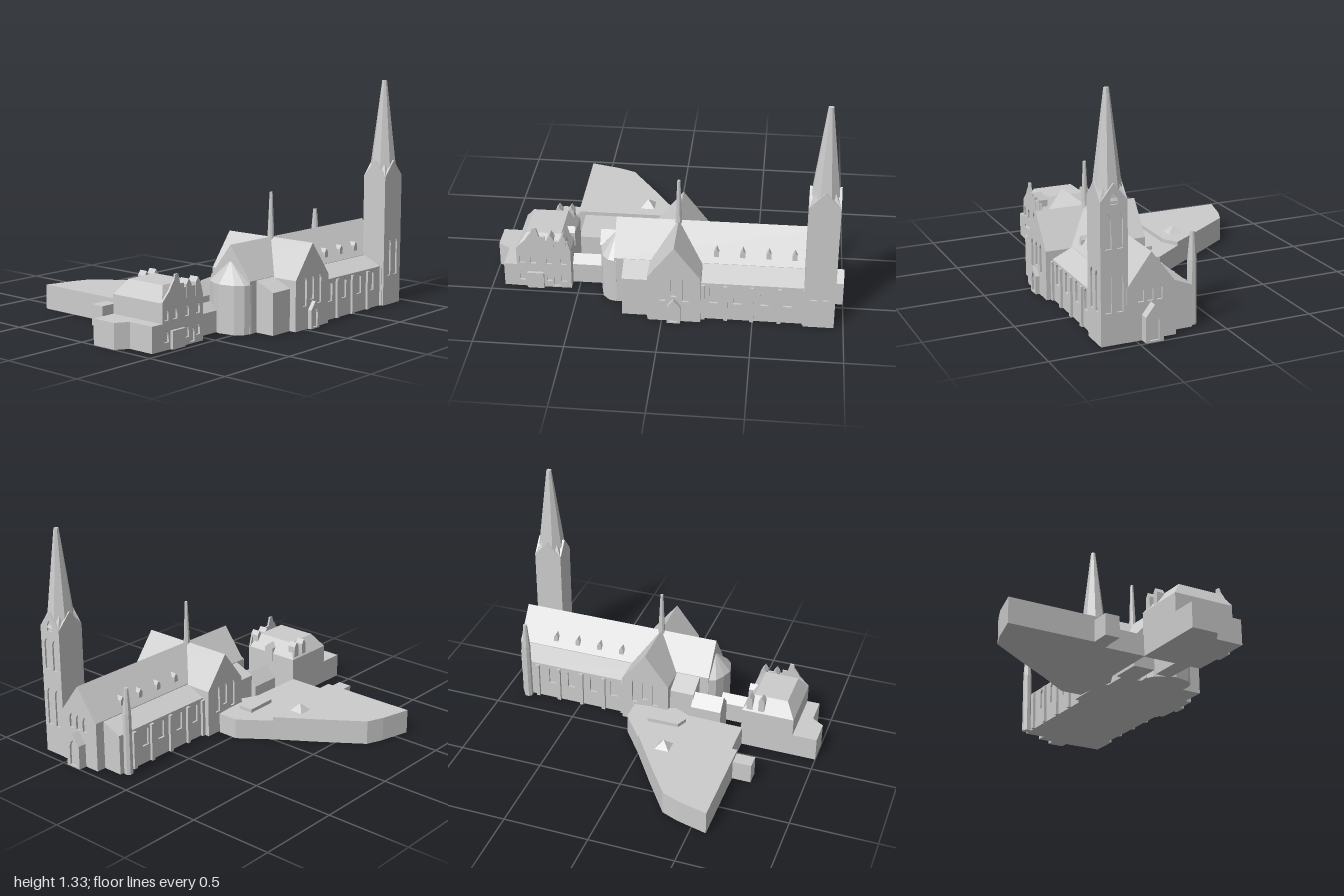
import * as THREE from 'three';
import { ConvexGeometry } from 'three/addons/geometries/ConvexGeometry.js';

export function createModel() {
  const model = new THREE.Group();
  model.name = 'cathedralPrecinct';
  const stone = new THREE.MeshStandardMaterial({ color: 0xcccccc });
  stone.name = 'pale stone';

  const add = (name, geometry) => {
    const mesh = new THREE.Mesh(geometry, stone);
    mesh.name = name;
    model.add(mesh);
    return mesh;
  };

  // Outline extruded along an axis: 'x' takes (z, y), 'y' takes (x, z), 'z' takes (x, y)
  const prism = (name, axis, from, to, outline, holes = []) => {
    const map = ([a, b]) =>
      new THREE.Vector2(axis === 'x' ? -a : a, axis === 'y' ? -b : b);
    const points = outline.map(map);
    if (THREE.ShapeUtils.isClockWise(points)) points.reverse();
    const shape = new THREE.Shape(points);
    shape.holes = holes.map((h) => new THREE.Path(h.map(map)));
    const g = new THREE.ExtrudeGeometry(shape, { depth: to - from, bevelEnabled: false });
    g.translate(0, 0, from);
    if (axis === 'x') g.rotateY(Math.PI / 2);
    if (axis === 'y') g.rotateX(-Math.PI / 2);
    return add(name, g);
  };
  const box = (name, x0, x1, y0, y1, z0, z1) => {
    const g = new THREE.BoxGeometry(x1 - x0, y1 - y0, z1 - z0);
    g.translate((x0 + x1) / 2, (y0 + y1) / 2, (z0 + z1) / 2);
    return add(name, g);
  };
  // Faceted tapering shaft
  const shaft = (name, x, z, y0, y1, r0, r1, sides, scaleZ = 1) => {
    let g = new THREE.CylinderGeometry(r1, r0, y1 - y0, sides);
    g.rotateY(Math.PI / sides);
    g.scale(1, 1, scaleZ);
    g.translate(x, (y0 + y1) / 2, z);
    g = g.toNonIndexed();
    g.computeVertexNormals();
    return add(name, g);
  };
  const hull = (name, points) =>
    add(name, new ConvexGeometry(points.map((p) => new THREE.Vector3(...p))));
  const rect = (a0, a1, b0, b1) => [[a0, b0], [a1, b0], [a1, b1], [a0, b1]];
  const gable = (c, half, eave, ridge, y0 = 0) =>
    [[c - half, y0], [c + half, y0], [c + half, eave], [c, ridge], [c - half, eave]];
  const lancet = (c, y0, y1, w, rise = w * 0.9) => [
    [c - w / 2, y0], [c + w / 2, y0], [c + w / 2, y1 - rise], [c + w * 0.32, y1 - rise * 0.45],
    [c, y1], [c - w * 0.32, y1 - rise * 0.45], [c - w / 2, y1 - rise]];

  const ridge = 0.475, mid = 0.415;

  // Nave, choir and west front
  const naveSection = gable(mid, 0.14, 0.29, ridge);
  prism('nave', 'x', -0.28, 0.938, naveSection);
  prism('westFront', 'x', 0.938, 0.95, naveSection,
    [0.473, 0.42, 0.367].map((z) => lancet(z, 0.21, 0.3, 0.032)));
  prism('westPorch', 'x', 0.95, 0.988, gable(0.418, 0.05, 0.14, 0.205));
  prism('westPorchArch', 'x', 0.988, 1, gable(0.418, 0.05, 0.14, 0.205),
    [lancet(0.418, 0.01, 0.165, 0.05)]);

  // Aisles with recessed windows, buttresses and roof dormers
  prism('aisles', 'x', -0.225, 0.893, [[0.165, 0], [0.658, 0], [0.658, 0.225], [0.67, 0.235],
    [0.555, 0.288], [0.28, 0.288], [0.153, 0.235], [0.165, 0.225]]);
  const aisleWindows = [0.285, 0.418, 0.565, 0.69].map((x) => lancet(x, 0.105, 0.225, 0.045, 0.02));
  prism('frontAisleWall', 'z', 0.658, 0.67, rect(-0.225, 0.78, 0, 0.235), aisleWindows);
  prism('backAisleWall', 'z', 0.153, 0.165, rect(-0.225, 0.893, 0, 0.235), aisleWindows);
  for (const x of [0.225, 0.35, 0.495, 0.645, 0.785]) {
    box('frontButtress', x - 0.011, x + 0.011, 0, 0.225, 0.66, 0.684);
    box('backButtress', x - 0.011, x + 0.011, 0, 0.225, 0.137, 0.16);
  }
  for (const x of [0.288, 0.433, 0.577, 0.72]) {
    prism('frontDormer', 'z', 0.45, 0.533, gable(x, 0.014, 0.35, 0.372, 0.32));
    prism('backDormer', 'z', 0.297, 0.38, gable(x, 0.014, 0.35, 0.372, 0.32));
  }

  // Apse
  const apse = [[-0.27, 0.275], [-0.32, 0.3], [-0.352, 0.355], [-0.372, 0.415],
    [-0.352, 0.505], [-0.315, 0.545], [-0.27, 0.557]];
  hull('apse', [...apse.map(([x, z]) => [x, 0, z]), ...apse.map(([x, z]) => [x, 0.27, z]),
    [-0.275, 0.39, mid], [-0.27, 0.39, mid]]);

  // Transept with lancet windows at both ends
  const transept = gable(0.068, 0.147, 0.283, ridge);
  const triple = [0.003, 0.068, 0.133].map((x) => lancet(x, x === 0.068 ? 0.16 : 0.13, 0.3, 0.032));
  prism('transept', 'z', 0.122, 0.698, transept);
  prism('transeptFront', 'z', 0.698, 0.71, transept, triple);
  prism('transeptBack', 'z', 0.11, 0.122, transept, triple);
  prism('transeptPorch', 'z', 0.71, 0.722, gable(0.068, 0.037, 0.105, 0.152));
  prism('transeptPorchArch', 'z', 0.722, 0.734, gable(0.068, 0.037, 0.105, 0.152),
    [lancet(0.068, 0.008, 0.125, 0.042)]);
  shaft('crossingSpirelet', 0.068, mid, 0.45, 0.728, 0.021, 0.009, 8);

  // Bell tower with four gables and an octagonal spire
  const tx = 0.863, tz = 0.62, hx = 0.085, hz = 0.075, d = 0.01;
  prism('towerCore', 'z', tz - hz + d, tz + hz - d, gable(tx, hx - d, 0.775, 0.855));
  prism('towerCoreCross', 'x', tx - hx + d, tx + hx - d, gable(tz, hz - d, 0.775, 0.855));
  const pair = (c, y0, y1) => [c - 0.032, c + 0.032].map((p) => lancet(p, y0, y1, 0.034));
  const frontFace = gable(tx, hx, 0.765, 0.858), sideFace = gable(tz, hz, 0.765, 0.858);
  prism('towerFront', 'z', tz + hz - d, tz + hz, frontFace, pair(tx, 0.175, 0.4));
  prism('towerBack', 'z', tz - hz, tz - hz + d, frontFace);
  prism('towerWest', 'x', tx + hx - d, tx + hx, sideFace, [...pair(tz, 0.175, 0.4),
    ...pair(tz, 0.515, 0.7), lancet(tz, 0.748, 0.812, 0.042)]);
  prism('towerEast', 'x', tx - hx, tx - hx + d, sideFace);
  shaft('spireBroach', tx, tz, 0.765, 0.96, hx * Math.SQRT2, 0.001, 4, hz / hx);
  shaft('spire', tx, tz, 0.77, 1.325, 0.086, 0.015, 8, 0.94);

  // Stair turret at the back corner
  shaft('turret', 0.848, 0.133, 0, 0.36, 0.027, 0.025, 8);
  shaft('turretSpire', 0.848, 0.133, 0.36, 0.515, 0.025, 0.012, 8);

  // Gabled links between the cathedral and the house
  prism('backLink', 'x', -0.405, -0.22, gable(0.185, 0.064, 0.17, 0.24));
  prism('frontLink', 'x', -0.545, -0.355, gable(0.338, 0.048, 0.12, 0.165));

  // House with a flat-topped hipped roof
  box('houseBody', -0.855, -0.543, 0, 0.25, 0.093, 0.44);
  const corners = (x0, x1, y, z0, z1) => [[x0, y, z0], [x1, y, z0], [x1, y, z1], [x0, y, z1]];
  hull('houseRoof', [...corners(-0.855, -0.543, 0.25, 0.093, 0.45),
    ...corners(-0.8, -0.6, 0.332, 0.155, 0.4)]);
  const houseWindows = [];
  for (const x of [-0.825, -0.76, -0.67, -0.585])
    houseWindows.push(lancet(x, 0.04, 0.105, 0.032), lancet(x, 0.155, 0.22, 0.032));
  houseWindows.push(lancet(-0.626, 0.01, 0.09, 0.032));
  prism('houseFront', 'z', 0.44, 0.452, [[-0.855, 0], [-0.543, 0], [-0.543, 0.25], [-0.56, 0.31],
    [-0.69, 0.31], [-0.69, 0.335], [-0.72, 0.335], [-0.728, 0.362], [-0.735, 0.39], [-0.757, 0.39],
    [-0.765, 0.362], [-0.785, 0.335], [-0.8, 0.31], [-0.855, 0.255]], houseWindows);
  box('houseBay', -0.795, -0.7, 0, 0.1, 0.45, 0.47);
  for (const x of [-0.657, -0.585]) {
    prism('houseFrontDormer', 'z', 0.4, 0.455, gable(x, 0.018, 0.325, 0.352, 0.25));
    prism('houseBackDormer', 'z', 0.1, 0.15, gable(x, 0.018, 0.325, 0.352, 0.25));
  }
  prism('houseSideDormer', 'x', -0.585, -0.537, gable(0.285, 0.03, 0.285, 0.312, 0.2));
  prism('houseAnnex', 'y', 0, 0.143, [[-1, 0.093], [-0.85, 0.093], [-0.85, 0.45],
    [-0.93, 0.45], [-0.93, 0.29], [-1, 0.245]]);

  // Terraced hall behind the cathedral
  prism('upperTerrace', 'y', 0, 0.143, [[-0.59, -0.735], [-0.41, -0.69], [-0.31, -0.65],
    [-0.155, -0.43], [0, -0.2], [-0.09, -0.147], [-0.59, -0.147]]);
  prism('lowerTerrace', 'y', 0, 0.12, [[0, -0.2], [0.13, -0.025], [0.13, 0.1], [-0.02, 0.115],
    [-0.12, 0.145], [-0.215, 0.1], [-0.55, 0.095], [-0.55, -0.147], [-0.09, -0.147]]);
  prism('terraceRooflight', 'y', 0.12, 0.142, [[-0.22, 0.035], [-0.19, -0.03], [0, -0.035],
    [0, 0.06], [-0.155, 0.06]]);
  shaft('terracePyramid', -0.18, -0.257, 0.143, 0.187, 0.06, 0.001, 4);
  box('terraceAnnex', -0.7, -0.585, 0, 0.12, -0.235, -0.15);

  return model;
}
